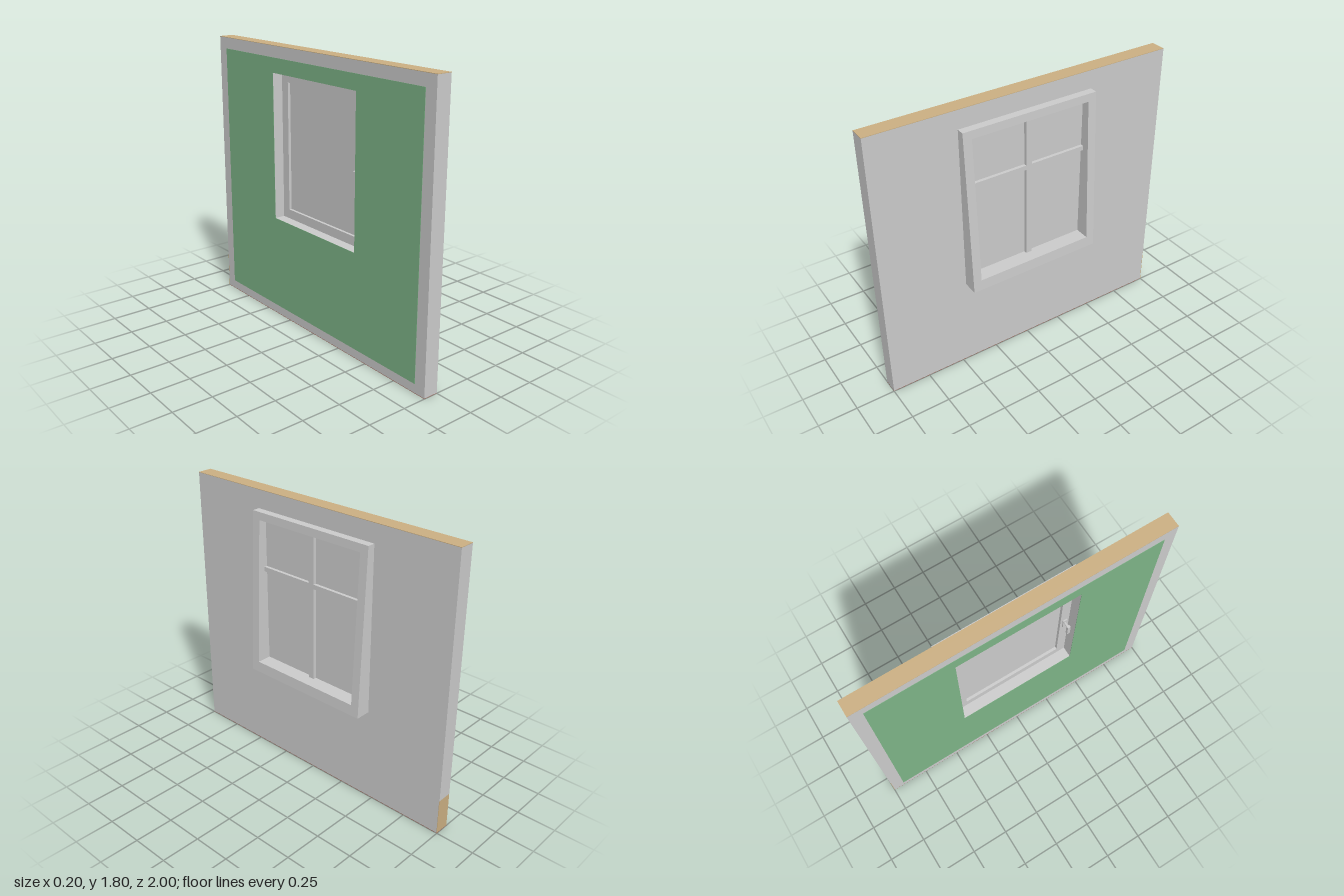
import * as THREE from 'three';

const mat = (name, color) => {
  const m = new THREE.MeshStandardMaterial({ color });
  m.name = name;
  return m;
};

// Rectangle in the wall plane, half width w, from y0 to y1
function rect(w, y0, y1, Type = THREE.Shape) {
  const p = new Type();
  p.moveTo(-w, y0);
  p.lineTo(w, y0);
  p.lineTo(w, y1);
  p.lineTo(-w, y1);
  p.closePath();
  return p;
}

// Rectangular ring, extruded along x from x0 to x1
function ring(outer, inner, x0, x1) {
  const shape = rect(...outer);
  shape.holes.push(rect(...inner, THREE.Path));
  const g = new THREE.ExtrudeGeometry(shape, { depth: x1 - x0, bevelEnabled: false });
  g.rotateY(Math.PI / 2);
  g.translate(x0, 0, 0);
  return g;
}

// Box given by its limits on each axis
function block(x0, x1, y0, y1, z0, z1) {
  const g = new THREE.BoxGeometry(x1 - x0, y1 - y0, z1 - z0);
  g.translate((x0 + x1) / 2, (y0 + y1) / 2, (z0 + z1) / 2);
  return g;
}

export function createModel() {
  const model = new THREE.Group();
  model.name = 'windowWall';
  const plaster = mat('plasterGrey', 0xcccccc);
  const tan = mat('woodTan', 0xccb083);
  const green = mat('wallGreen', 0x7eb487);
  const brown = mat('baseBrown', 0xa66a5b);

  const add = (name, geometry, material, parent = model) => {
    const m = new THREE.Mesh(geometry, material);
    m.name = name;
    parent.add(m);
    return m;
  };

  const opening = [0.395, 0.68, 1.63];

  // Wall with its window opening, and coloured top, base and end
  const t = 0.003;
  add('wall', ring([1 - t, t, 1.8 - t], opening, -0.098, 0), plaster);
  add('wallTop', block(-0.098, 0, 1.8 - t, 1.8, -1, 1), tan);
  add('wallBase', block(-0.098, 0, 0, t, -1, 1), brown);
  add('endLower', block(-0.098, 0, t, 0.236, -1, -1 + t), tan);
  add('endUpper', block(-0.098, 0, 0.236, 1.8 - t, -1, -1 + t), plaster);
  add('endPlain', block(-0.098, 0, t, 1.8 - t, 1 - t, 1), plaster);

  // Painted panel on the inner side
  add('innerPanel', ring([0.923, 0.06, 1.725], opening, -0.1, -0.098), green);

  // Outer frame, deeper at the bottom than at the top
  const frame = ring([0.45, 0.61, 1.68], opening, 0, 0.1);
  const p = frame.attributes.position;
  for (let i = 0; i < p.count; i++) {
    if (p.getX(i) > 0.05) p.setX(i, 0.05 + 0.05 * (1.68 - p.getY(i)) / 1.07);
  }
  frame.computeVertexNormals();
  add('outerFrame', frame, plaster);

  // Pane, inner sash and glazing bars
  const w = opening[0];
  add('pane', block(-0.012, -0.001, 0.68, 1.63, -w, w), plaster);
  add('sash', ring(opening, [0.335, 0.74, 1.57], -0.03, -0.012), plaster);
  add('crossBar', block(-0.001, 0.02, 1.29, 1.32, -w, w), plaster);
  add('lowerBar', block(-0.001, 0.02, 0.68, 1.29, -0.02, 0.02), plaster);
  add('upperBar', block(-0.001, 0.02, 1.32, 1.63, -0.02, 0.02), plaster);

  // Handle on the inner sash
  const handle = new THREE.Group();
  handle.name = 'handle';
  handle.position.set(-0.03, 1.13, 0.365);
  model.add(handle);
  add('handlePlate', block(-0.008, 0, -0.04, 0.05, -0.014, 0.014), plaster, handle);
  const neck = new THREE.CylinderGeometry(0.009, 0.009, 0.034, 12);
  neck.rotateZ(Math.PI / 2);
  neck.translate(-0.025, 0.02, 0);
  add('handleNeck', neck, plaster, handle);
  add('handleLever', block(-0.052, -0.036, -0.06, 0.032, -0.01, 0.01), plaster, handle);

  return model;
}
